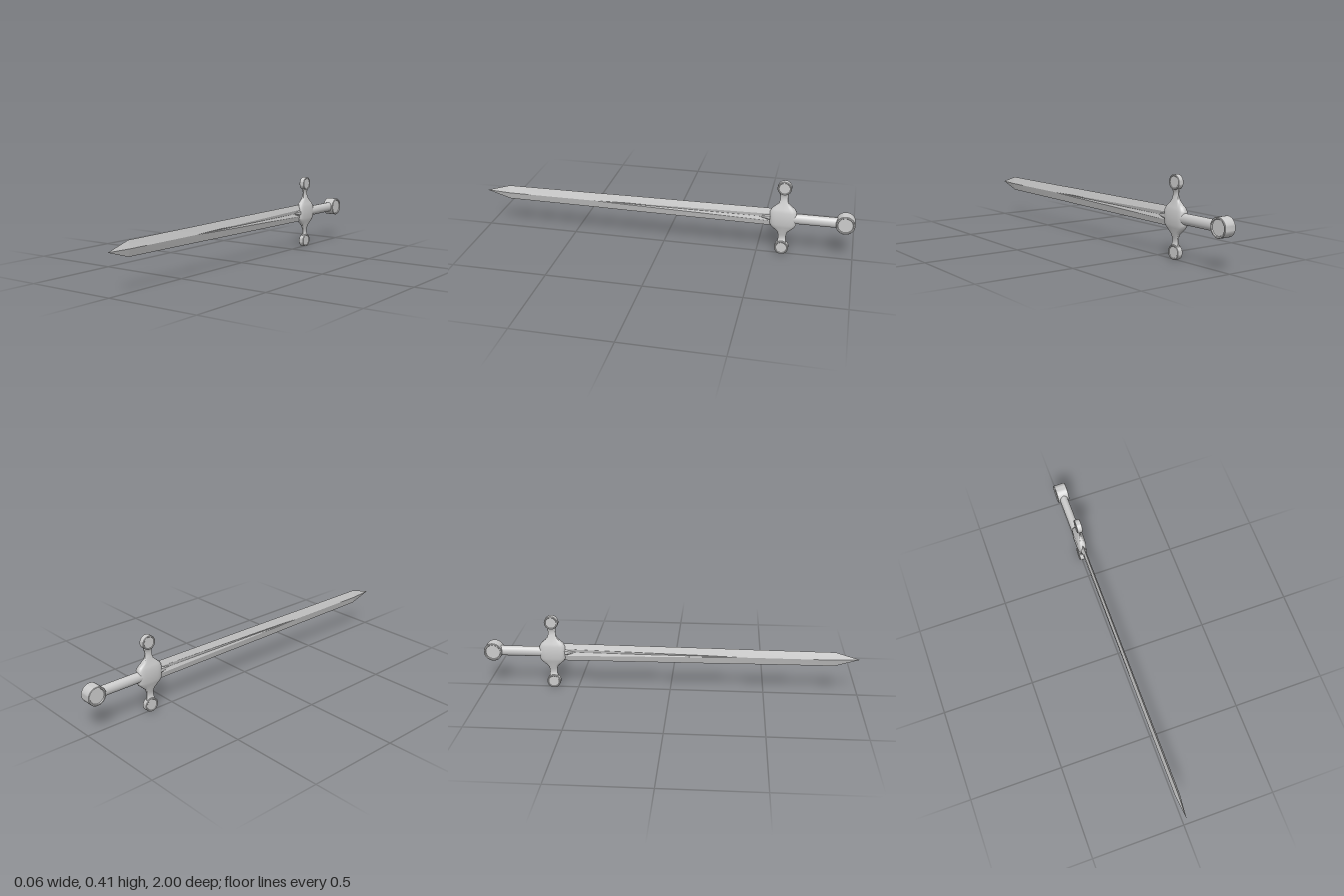
import * as THREE from 'three';
import { toCreasedNormals } from 'three/addons/utils/BufferGeometryUtils.js';

const MID = 0.205;      // height of the sword's long axis
const GUARD_Z = -0.632; // cross-guard position along the blade axis
const material = new THREE.MeshStandardMaterial({ color: 0xcccccc });

// Skin a list of equal-length rings (counter-clockwise seen from the far end)
function loft(rings, crease) {
  const n = rings[0].length, index = [];
  for (let i = 0; i < rings.length - 1; i++) {
    for (let j = 0; j < n; j++) {
      const a = i * n + j, b = i * n + (j + 1) % n;
      index.push(a, b, b + n, a, b + n, a + n);
    }
  }
  const end = (rings.length - 1) * n;
  for (let j = 1; j < n - 1; j++) {
    index.push(0, j + 1, j, end, end + j, end + j + 1);
  }
  const geometry = new THREE.BufferGeometry();
  geometry.setAttribute('position', new THREE.Float32BufferAttribute(rings.flat(2), 3));
  geometry.setIndex(index);
  return toCreasedNormals(geometry, crease);
}

function addMesh(parent, name, geometry, y = MID, z = 0) {
  const mesh = new THREE.Mesh(geometry, material);
  mesh.name = name;
  mesh.position.set(0, y, z);
  parent.add(mesh);
  return mesh;
}

// Round drum lying across the sword, with a shallow recess in each face
function drum(radius, half) {
  const inner = radius * 0.78, rim = radius * 0.84, dip = half * 0.86, bevel = radius * 0.05;
  const profile = [
    [0, -dip], [inner, -dip], [rim, -half], [radius - bevel, -half], [radius, -half + bevel],
    [radius, half - bevel], [radius - bevel, half], [rim, half], [inner, dip], [0, dip],
  ].map(([r, h]) => new THREE.Vector2(r, h));
  const geometry = new THREE.LatheGeometry(profile, 32).rotateZ(-Math.PI / 2);
  return toCreasedNormals(geometry, 0.6);
}

// Blade: diamond section with a tapering central fuller
function bladeGeometry() {
  const sections = [ // z, half height, half thickness, fuller half width, fuller depth
    [-0.6, 0.049, 0.009, 0.02, 0.005],
    [0.2, 0.044, 0.011, 0.005, 0.002],
    [0.39, 0.042, 0.012, 0, 0],
    [0.87, 0.039, 0.013, 0, 0],
    [1, 0, 0, 0, 0],
  ];
  return loft(sections.map(([z, h, t, f, d]) => [
    [t - d, 0, z], [t, f, z], [0, h, z], [-t, f, z],
    [d - t, 0, z], [-t, -f, z], [0, -h, z], [t, -f, z],
  ]), 0.05);
}

// Guard: rounded hub narrowing into two arms that flare at their ends
function guardGeometry() {
  const half = [ // offset along y, half depth, half thickness
    [0, 0.07, 0.026], [0.034, 0.069, 0.026], [0.05, 0.06, 0.021], [0.066, 0.042, 0.016],
    [0.08, 0.027, 0.012], [0.098, 0.021, 0.007], [0.115, 0.02, 0.003],
    [0.126, 0.022, 0.006], [0.14, 0.024, 0.011],
  ];
  const sections = [...half.slice(1).reverse().map(([y, d, t]) => [-y, d, t]), ...half];
  const power = (v) => Math.sign(v) * Math.pow(Math.abs(v), 0.55);
  return loft(sections.map(([y, d, t]) => {
    const ring = [];
    for (let j = 0; j < 20; j++) {
      const a = j / 20 * Math.PI * 2, z = -power(Math.sin(a));
      const taper = 1 - 0.12 * (z + 1) / 2; // slimmer towards the blade
      ring.push([power(Math.cos(a)) * t * taper, y, z * d]);
    }
    return ring;
  }), 0.7);
}

export function createModel() {
  const sword = new THREE.Group();
  sword.name = 'sword';

  addMesh(sword, 'blade', bladeGeometry());

  // Pointed tongue overlapping the root of the blade
  const tongue = [[-0.58, 0.02, 0.015], [-0.555, 0.016, 0.014], [-0.5, 0, 0.004]];
  addMesh(sword, 'bladeTongue', loft(tongue.map(([z, h, t]) => [
    [t, -h * 0.5, z], [t, h * 0.5, z], [t * 0.5, h, z], [-t * 0.5, h, z],
    [-t, h * 0.5, z], [-t, -h * 0.5, z], [-t * 0.5, -h, z], [t * 0.5, -h, z],
  ]), 0.4));

  // Cross-guard with a drum on each arm
  const guard = new THREE.Group();
  guard.name = 'crossGuard';
  sword.add(guard);
  addMesh(guard, 'guardBody', guardGeometry(), MID, GUARD_Z);
  for (const side of [1, -1]) {
    addMesh(guard, side > 0 ? 'upperGuardEnd' : 'lowerGuardEnd',
      drum(0.0365, 0.0148), MID + side * 0.1685, GUARD_Z);
  }

  // Oval grip and pommel
  const grip = new THREE.CylinderGeometry(0.0275, 0.0275, 0.25, 24).rotateX(Math.PI / 2);
  grip.scale(0.82, 1, 1);
  addMesh(sword, 'grip', grip, MID, -0.8);
  addMesh(sword, 'pommel', drum(0.049, 0.0325), MID, -0.951);

  return sword;
}
